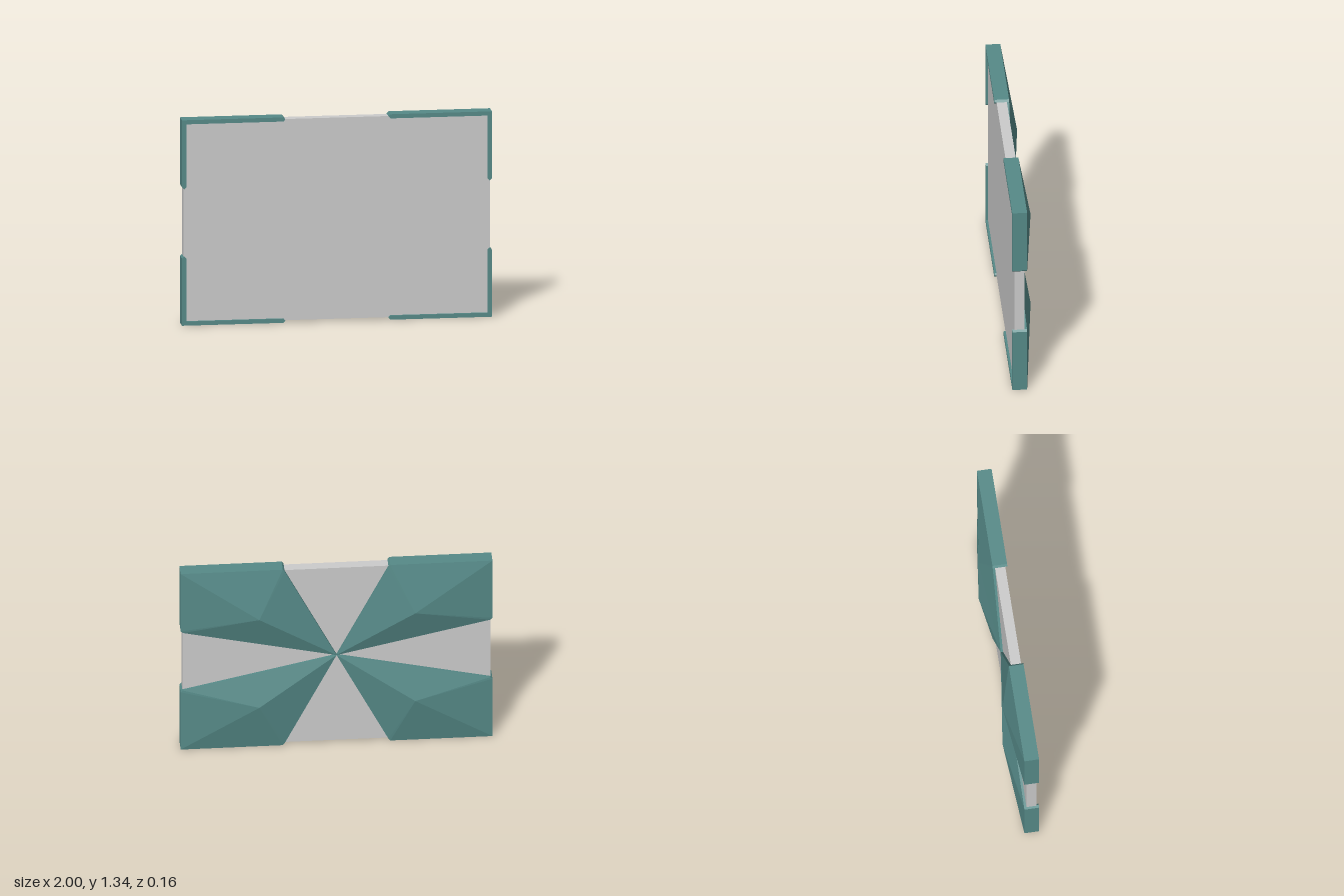
import * as THREE from 'three';

const MID = 0.672; // height of the panel centre

// Outline of one corner wing, from the panel centre outward
const WING = [[0, 0], [0.333, 0.658], [0.345, 0.672], [1, 0.672], [1, 0.233], [0.986, 0.22]];
// L-shaped rim with pointed ends
const RIM = [[0.333, 0.658], [0.345, 0.672], [1, 0.672], [1, 0.233], [0.986, 0.22],
  [0.972, 0.233], [0.972, 0.645], [0.345, 0.645]];
const APEX = [0.5, 0.336, -0.08];

export function createModel() {
  const model = new THREE.Group();
  const grey = new THREE.MeshStandardMaterial({ color: 0xcccccc, flatShading: true });
  const teal = new THREE.MeshStandardMaterial({ color: 0x568a88, flatShading: true });

  const add = (parent, geometry, material, name) => {
    const mesh = new THREE.Mesh(geometry, material);
    mesh.name = name;
    parent.add(mesh);
    return mesh;
  };

  // Extrude a mirrored outline between two depths
  const slab = (points, sx, sy, z0, z1) => {
    const shape = new THREE.Shape(points.map(([x, y]) => new THREE.Vector2(x * sx, y * sy)));
    return new THREE.ExtrudeGeometry(shape, { depth: z1 - z0, bevelEnabled: false }).translate(0, 0, z0);
  };

  // Shallow pyramid rising backward from the wing outline
  const pyramid = (sx, sy) => {
    const pos = [];
    WING.forEach((a, i) => {
      const b = WING[(i + 1) % WING.length];
      const [p, q] = sx * sy > 0 ? [a, b] : [b, a];
      for (const [x, y, z = -0.015] of [p, q, APEX]) pos.push(x * sx, y * sy, z);
    });
    const geometry = new THREE.BufferGeometry();
    geometry.setAttribute('position', new THREE.Float32BufferAttribute(pos, 3));
    geometry.computeVertexNormals();
    return geometry;
  };

  // Flat central panel
  add(model, new THREE.BoxGeometry(1.976, 1.316, 0.066), grey, 'panel').position.set(0, MID, 0.033);

  // Four mirrored corner wings
  for (const sx of [-1, 1]) {
    for (const sy of [-1, 1]) {
      const corner = new THREE.Group();
      corner.name = (sy > 0 ? 'upper' : 'lower') + (sx > 0 ? 'Left' : 'Right') + 'Corner';
      corner.position.y = MID;
      add(corner, slab(WING, sx, sy, -0.015, 0), teal, 'backPlate');
      add(corner, slab(RIM, sx, sy, 0, 0.08), teal, 'rim');
      add(corner, pyramid(sx, sy), teal, 'backPyramid');
      model.add(corner);
    }
  }
  return model;
}
